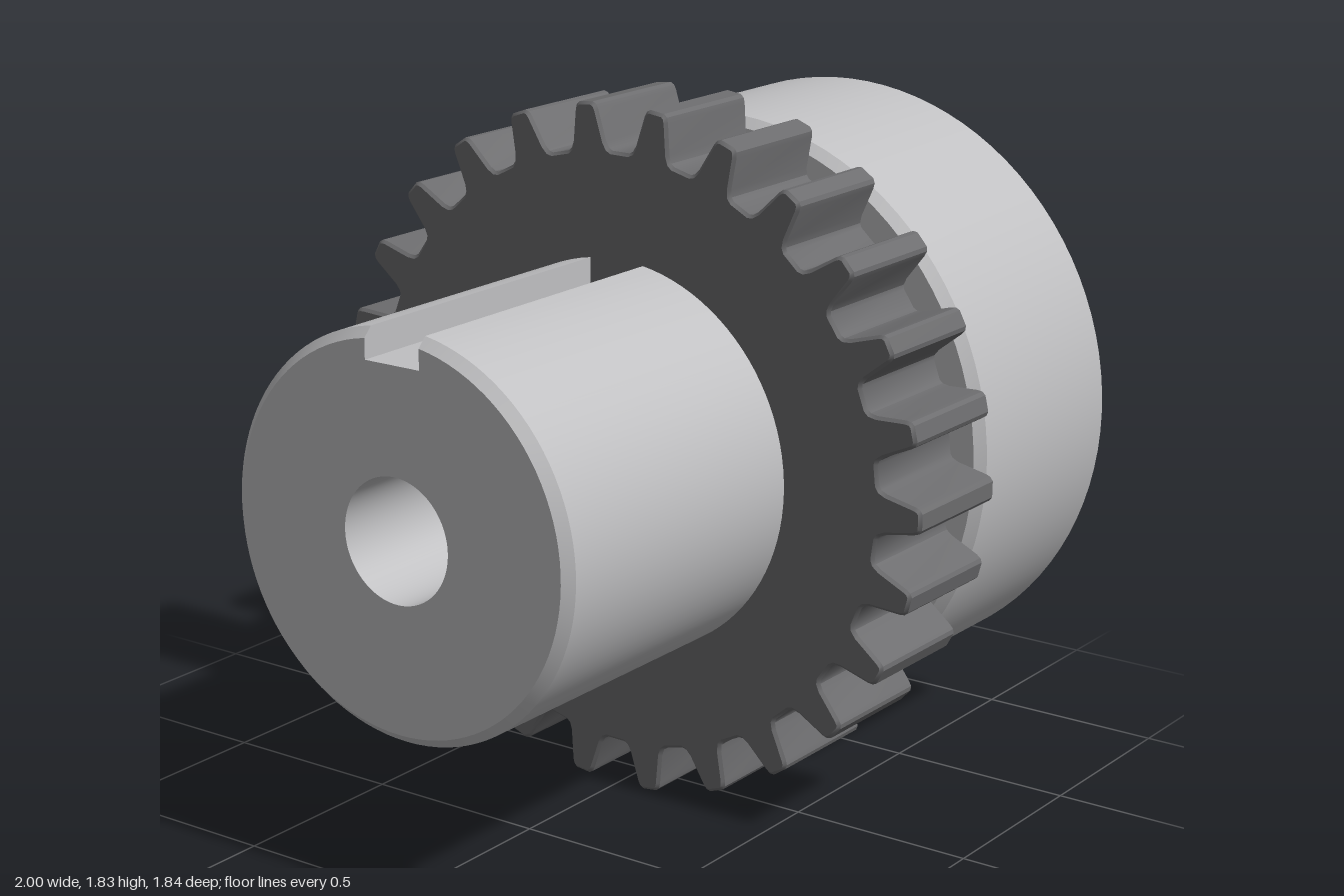
import * as THREE from 'three';
import { toCreasedNormals } from 'three/addons/utils/BufferGeometryUtils.js';

const AXIS_Y = 0.92;
const steel = new THREE.MeshStandardMaterial({ color: 0xc0c0c2 });
steel.name = 'light steel';
const darkSteel = new THREE.MeshStandardMaterial({ color: 0x6c6c6e });
darkSteel.name = 'dark steel';

// Part turned around the x axis, profile given as [x, radius]
function turned(profile) {
  const points = profile.map(([x, r]) => new THREE.Vector2(r, x));
  return toCreasedNormals(new THREE.LatheGeometry(points, 96).rotateZ(-Math.PI / 2), 0.5);
}

// Disc with chamfered rims
function chamferedDisc(x0, x1, r, c0, c1) {
  return turned([[x0, 0], [x0, r - c0], [x0 + c0, r], [x1 - c1, r], [x1, r - c1], [x1, 0]]);
}

// Round section with a keyway cut into its top, as [z, y] points
function keyedSection(r) {
  const half = 0.083, floor = 0.435, steps = 96;
  const gap = Math.asin(half / r), points = [];
  for (let i = 0; i <= steps; i++) {
    const a = Math.PI / 2 + gap + (i / steps) * 2 * (Math.PI - gap);
    points.push(new THREE.Vector2(r * Math.cos(a), r * Math.sin(a)));
  }
  points.push(new THREE.Vector2(half, floor), new THREE.Vector2(-half, floor));
  return points;
}

// Shaft wall: keyed sections joined along x
function shaftWall(stations) {
  const rings = stations.map(([x, r]) => keyedSection(r).map((p) => [x, p.y, p.x]));
  const n = rings[0].length, index = [];
  for (let i = 0; i < rings.length - 1; i++) {
    for (let j = 0; j < n; j++) {
      const a = i * n + j, b = i * n + ((j + 1) % n);
      index.push(a, a + n, b, b, a + n, b + n);
    }
  }
  const g = new THREE.BufferGeometry();
  g.setAttribute('position', new THREE.Float32BufferAttribute(rings.flat(2), 3));
  g.setIndex(index);
  return toCreasedNormals(g, 0.5);
}

// Flat shaft end with the bore opening
function shaftEnd(x, r, bore) {
  const shape = new THREE.Shape(keyedSection(r));
  shape.holes.push(new THREE.Path().absarc(0, 0, bore, 0, Math.PI * 2, true));
  return new THREE.ShapeGeometry(shape, 48).rotateY(-Math.PI / 2).translate(x, 0, 0);
}

// Spur gear with slim bevels on both faces
function gearGeometry(x0, x1, teeth) {
  const flank = [[0.797, 0.07], [0.803, 0.06], [0.82, 0.052], [0.9, 0.036], [0.913, 0.031], [0.92, 0.021]];
  const tooth = [...flank.map(([r, w]) => [r, -w]), ...flank.slice().reverse()];
  const points = [];
  for (let i = 0; i < teeth; i++) {
    for (const [r, w] of tooth) {
      const a = (i / teeth) * Math.PI * 2 + 0.012 + w / r;
      points.push(new THREE.Vector2(r * Math.cos(a), r * Math.sin(a)));
    }
  }
  const bevel = 0.008;
  const g = new THREE.ExtrudeGeometry(new THREE.Shape(points), {
    depth: x1 - x0 - 2 * bevel, bevelEnabled: true, bevelSegments: 1,
    bevelSize: bevel, bevelThickness: bevel, bevelOffset: -bevel,
  });
  g.rotateY(Math.PI / 2).translate(x0 + bevel, 0, 0);
  return toCreasedNormals(g, 0.5);
}

export function createModel() {
  const model = new THREE.Group();
  model.name = 'gearShaft';
  const add = (name, geometry, material) => {
    const mesh = new THREE.Mesh(geometry, material);
    mesh.name = name;
    mesh.position.y = AXIS_Y;
    model.add(mesh);
  };

  // Keyed shaft with a blind bore in its end
  const bore = 0.16;
  add('keyedShaft', shaftWall([[-1, 0.495], [-0.975, 0.52], [-0.11, 0.52]]), steel);
  add('shaftEnd', shaftEnd(-1, 0.495, bore), steel);
  add('shaftBore', turned([[-0.3, 0], [-0.3, bore], [-1, bore]]), steel);

  // Toothed ring
  add('gear', gearGeometry(-0.118, 0.235, 26), darkSteel);

  // Collar and large drum
  add('collar', chamferedDisc(0.233, 0.34, 0.685, 0.025, 0.005), steel);
  add('drum', chamferedDisc(0.335, 1, 0.825, 0.025, 0.025), steel);
  return model;
}
